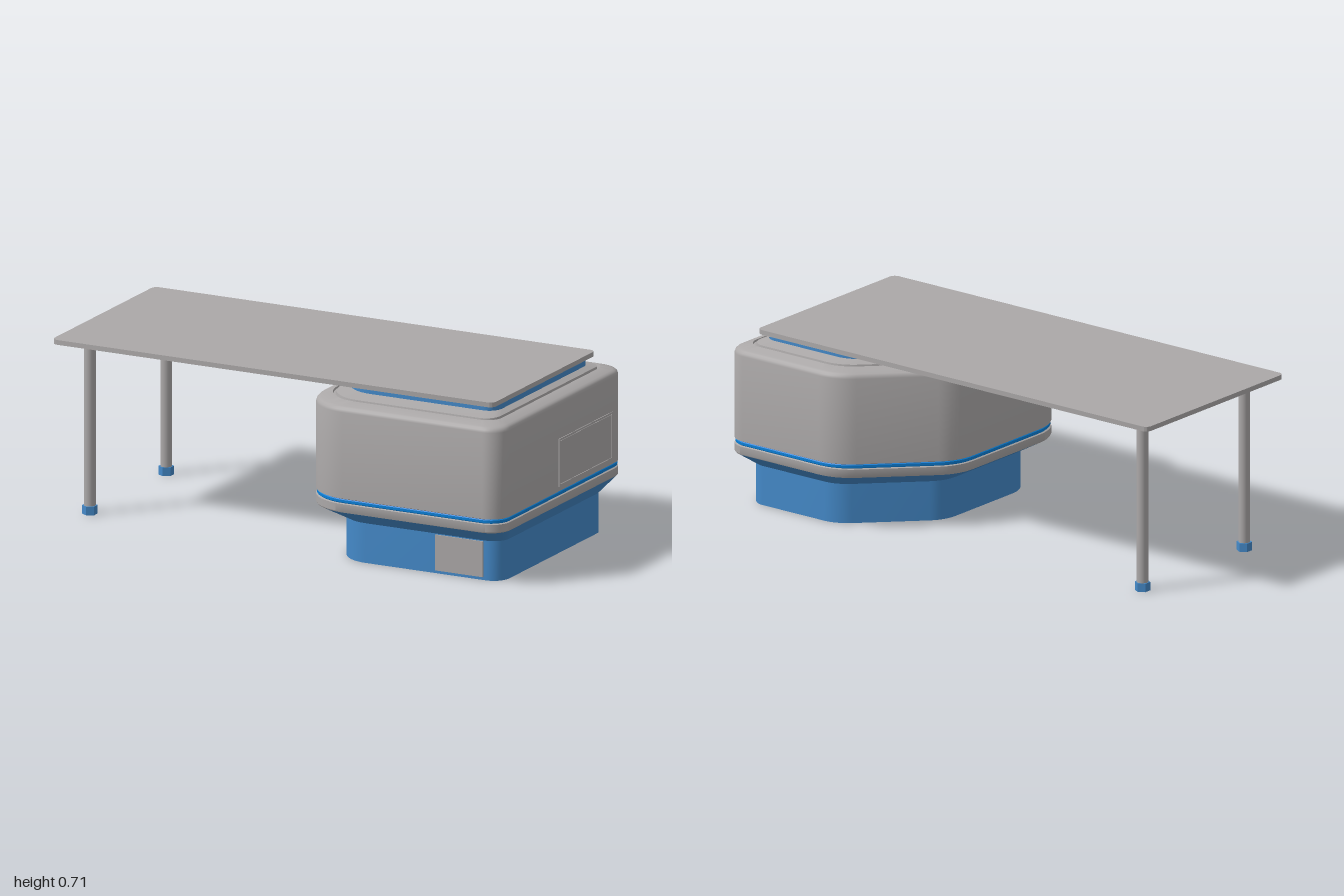
import * as THREE from 'three';
import { toCreasedNormals } from 'three/addons/utils/BufferGeometryUtils.js';

const grey = new THREE.MeshStandardMaterial({ color: 0xaba8a8, side: THREE.DoubleSide });
grey.name = 'grey';
const blue = new THREE.MeshStandardMaterial({ color: 0x4489c8, side: THREE.DoubleSide });
blue.name = 'blue';
const brightBlue = new THREE.MeshStandardMaterial({ color: 0x0a80d8, side: THREE.DoubleSide });
brightBlue.name = 'brightBlue';

// Rounded five-cornered footprint, inset on its left, right, front and back sides
function footprint([l, r, f, b]) {
  const x0 = 0.125 + l, x1 = 1 - r, z0 = -0.515 + b, z1 = 0.508 - f;
  const c = -0.05 + 1.41 * l; // chamfer line x + z = c
  const corners = [
    [x1, z1, 0.08 - r * 0.3], [x1, z0, 0.08 - r * 0.3],
    [c - z0, z0, 0.2 - l * 0.5], [x0, c - x0, 0.2 - l * 0.5],
    [x0, z1, 0.19 - l * 0.5],
  ];
  const pts = [], steps = 10, n = corners.length;
  corners.forEach(([px, pz, rad], i) => {
    const p = new THREE.Vector2(px, pz);
    const prev = corners[(i + n - 1) % n], next = corners[(i + 1) % n];
    const u = new THREE.Vector2(prev[0], prev[1]).sub(p).normalize();
    const v = new THREE.Vector2(next[0], next[1]).sub(p).normalize();
    const half = Math.acos(u.dot(v)) / 2;
    const centre = u.clone().add(v).normalize().multiplyScalar(rad / Math.sin(half)).add(p);
    const t = rad / Math.tan(half);
    const s = p.clone().addScaledVector(u, t).sub(centre);
    const e = p.clone().addScaledVector(v, t).sub(centre);
    const a0 = Math.atan2(s.y, s.x);
    const sweep = Math.atan2(s.cross(e), s.dot(e));
    for (let k = 0; k <= steps; k++) {
      const a = a0 + (sweep * k) / steps;
      pts.push([centre.x + rad * Math.cos(a), centre.y + rad * Math.sin(a)]);
    }
  });
  return pts;
}

// Skin between footprints, listed from bottom to top as [y, insets]
function loft(rings) {
  const loops = rings.map(([y, inset]) => footprint(inset).map(([x, z]) => [x, y, z]));
  const pos = [];
  for (let k = 0; k + 1 < loops.length; k++) {
    const lo = loops[k], hi = loops[k + 1], n = lo.length;
    for (let i = 0; i < n; i++) {
      const j = (i + 1) % n;
      pos.push(...lo[i], ...lo[j], ...hi[j], ...lo[i], ...hi[j], ...hi[i]);
    }
  }
  const geo = new THREE.BufferGeometry();
  geo.setAttribute('position', new THREE.Float32BufferAttribute(pos, 3));
  return toCreasedNormals(geo, 0.5);
}

const even = (d) => [d, d, d, d];

export function createModel() {
  const model = new THREE.Group();
  const add = (name, geo, mat, x = 0, y = 0, z = 0) => {
    const mesh = new THREE.Mesh(geo, mat);
    mesh.name = name;
    mesh.position.set(x, y, z);
    model.add(mesh);
    return mesh;
  };

  // Cabinet: base, flare, skirt, stripe, body and neck
  const baseInset = [0.105, 0.045, 0.092, 0.085];
  add('base', loft([[0, baseInset], [0.158, baseInset]]), blue);
  add('flare', loft([[0.158, baseInset], [0.216, even(0.002)]]), blue);
  add('skirt', loft([[0.216, even(0.002)], [0.22, even(0)], [0.25, even(0)], [0.253, even(0.006)]]), grey);
  add('stripe', loft([[0.253, even(0.006)], [0.256, even(0.003)], [0.266, even(0.003)], [0.269, even(0.006)]]), brightBlue);
  add('body', loft([
    [0.269, even(0.006)], [0.272, even(0)], [0.615, even(0)], [0.625, even(0.003)],
    [0.632, even(0.009)], [0.636, even(0.018)], [0.648, even(0.055)],
    [0.641, even(0.057)], [0.641, even(0.065)], [0.651, even(0.067)],
    [0.662, [0.1, 0.092, 0.133, 0.115]],
  ]), grey);
  const neckInset = [0.1, 0.093, 0.133, 0.115];
  add('neck', loft([[0.66, neckInset], [0.687, neckInset]]), blue);

  // Side hatch with a raised rim
  const hw = 0.437 / 2, hh = 0.19 / 2, rim = 0.008;
  add('hatch', new THREE.BoxGeometry(0.004, 2 * hh - 0.02, 2 * hw - 0.02), grey, 1, 0.386, -0.187);
  for (const s of [-1, 1]) {
    add('hatchRim', new THREE.BoxGeometry(0.006, rim, 2 * hw), grey, 1, 0.386 + s * (hh - rim / 2), -0.187);
    add('hatchRim', new THREE.BoxGeometry(0.006, 2 * hh, rim), grey, 1, 0.386, -0.187 + s * (hw - rim / 2));
  }

  // Plate set through the front of the base
  add('frontPlate', new THREE.BoxGeometry(0.206, 0.142, 0.012), grey, 0.775, 0.083, 0.415);

  // Table top with rounded corners
  const w = 1.915 / 2, d = 0.838 / 2, r = 0.025;
  const top = new THREE.Shape();
  top.absarc(w - r, d - r, r, 0, Math.PI / 2);
  top.absarc(-w + r, d - r, r, Math.PI / 2, Math.PI);
  top.absarc(-w + r, -d + r, r, Math.PI, Math.PI * 1.5);
  top.absarc(w - r, -d + r, r, Math.PI * 1.5, Math.PI * 2);
  const slab = new THREE.ExtrudeGeometry(top, { depth: 0.019, bevelEnabled: false, curveSegments: 8 });
  slab.rotateX(-Math.PI / 2);
  add('tableTop', toCreasedNormals(slab, 0.5), grey, -1 + w, 0.687, -0.0125);

  // Legs with six-sided feet
  for (const z of [0.3, -0.323]) {
    add('leg', new THREE.CylinderGeometry(0.0225, 0.0225, 0.657, 24), grey, -0.89, 0.3585, z);
    const foot = toCreasedNormals(new THREE.CylinderGeometry(0.03, 0.03, 0.034, 6), 0.5);
    add('foot', foot, blue, -0.89, 0.017, z);
  }
  return model;
}
